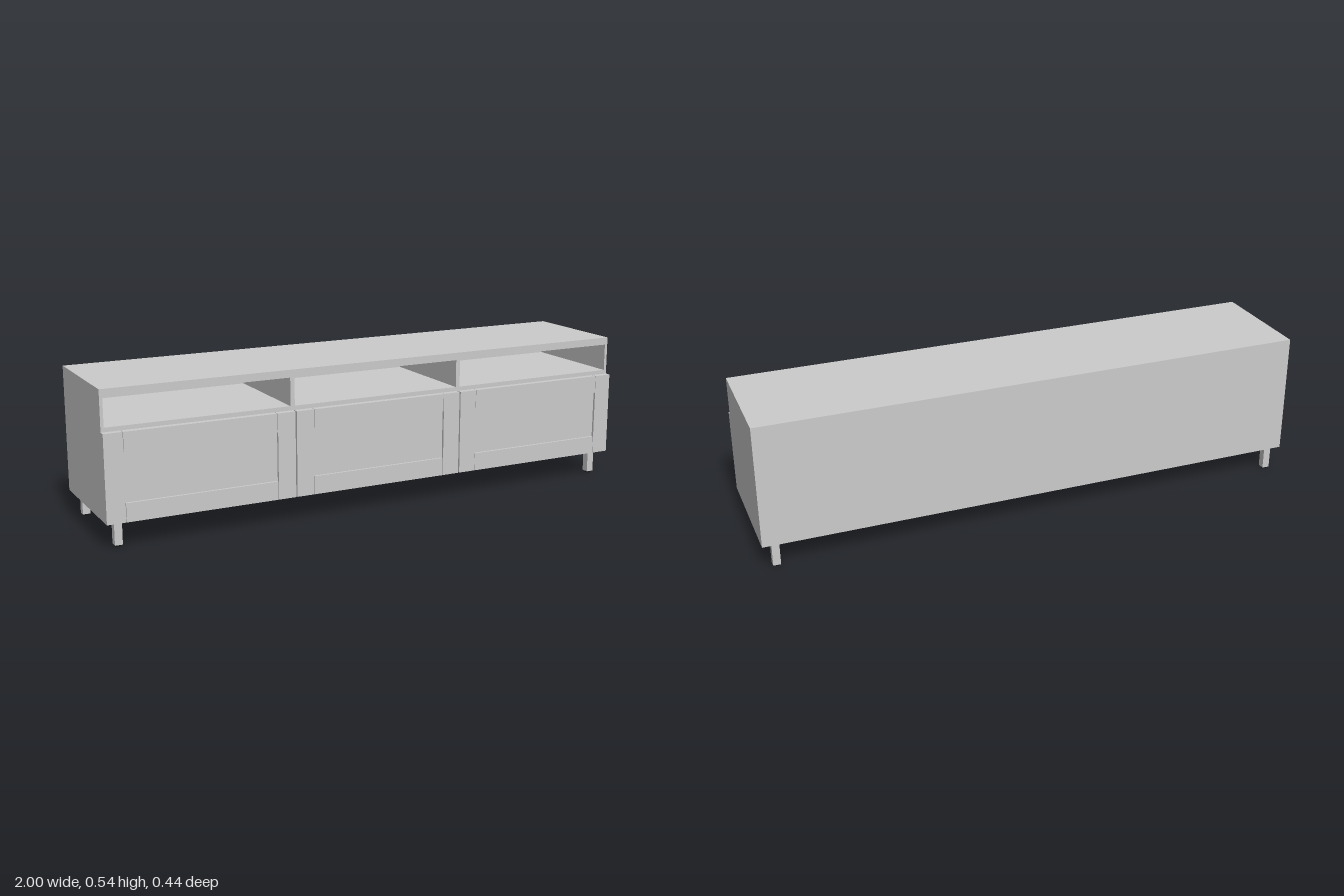
import * as THREE from 'three';

const grey = new THREE.MeshStandardMaterial({ color: 0xcccccc });
const black = new THREE.MeshStandardMaterial({ color: 0x141414 });

// Box given by its minimum and maximum corners
function slab(parent, name, [x0, y0, z0], [x1, y1, z1]) {
  const mesh = new THREE.Mesh(new THREE.BoxGeometry(x1 - x0, y1 - y0, z1 - z0), grey);
  mesh.position.set((x0 + x1) / 2, (y0 + y1) / 2, (z0 + z1) / 2);
  mesh.name = name;
  parent.add(mesh);
}

const BACK = -0.222, FACE = 0.2, FRONT = 0.222; // carcass back, carcass front, door front
const BASE = 0.091, TOP = 0.535, SHELF = 0.409, DOOR_TOP = 0.394;

function makeCarcass() {
  const g = new THREE.Group();
  g.name = 'carcass';
  const t = 0.011, inner = 1 - t;
  slab(g, 'topPanel', [-1, 0.508, BACK], [1, TOP, FACE]);
  slab(g, 'bottomPanel', [-inner, BASE, BACK], [inner, BASE + 0.02, FACE]);
  slab(g, 'shelf', [-inner, DOOR_TOP, BACK + t], [inner, SHELF, FACE]);
  slab(g, 'backPanel', [-inner, BASE + 0.02, BACK], [inner, 0.508, BACK + t]);
  for (const s of [-1, 1]) {
    slab(g, 'sidePanel', [s < 0 ? -1 : inner, BASE, BACK], [s < 0 ? -inner : 1, 0.508, FACE]);
    // divider, split above and below the shelf
    const x = s * 0.329;
    slab(g, 'upperDivider', [x - 0.008, SHELF, BACK + t], [x + 0.008, 0.508, FACE]);
    slab(g, 'lowerDivider', [x - 0.008, BASE + 0.02, BACK + t], [x + 0.008, DOOR_TOP, FACE]);
  }
  return g;
}

// Framed door: two full-height stiles, two rails and a recessed panel
function makeDoor(x0, x1) {
  const g = new THREE.Group();
  g.name = 'door';
  const w = 0.065, gap = 0.0015, y0 = BASE, y1 = DOOR_TOP;
  slab(g, 'leftStile', [x1 - w, y0, FACE], [x1, y1, FRONT]);
  slab(g, 'rightStile', [x0, y0, FACE], [x0 + w, y1, FRONT]);
  slab(g, 'bottomRail', [x0 + w + gap, y0, FACE], [x1 - w - gap, y0 + w, FRONT]);
  slab(g, 'topRail', [x0 + w + gap, y1 - w, FACE], [x1 - w - gap, y1, FRONT]);
  slab(g, 'doorPanel', [x0 + w, y0 + 0.002, FACE + 0.002], [x1 - w, y1 - 0.002, FRONT - 0.009]);
  return g;
}

// Square leg with a dark glide underneath
function makeLeg(x, z) {
  const g = new THREE.Group();
  g.name = 'leg';
  slab(g, 'legPost', [-0.0135, 0.006, -0.0135], [0.0135, BASE, 0.0135]);
  const glide = new THREE.Mesh(new THREE.CylinderGeometry(0.011, 0.011, 0.006, 20), black);
  glide.position.y = 0.003;
  glide.name = 'glide';
  g.add(glide);
  g.position.set(x, 0, z);
  return g;
}

export function createModel() {
  const model = new THREE.Group();
  model.name = 'mediaCabinet';
  model.add(makeCarcass());
  for (const [a, b] of [[-1, -0.329], [-0.324, 0.324], [0.329, 1]]) model.add(makeDoor(a, b));
  for (const x of [-0.953, 0.953]) for (const z of [-0.197, 0.174]) model.add(makeLeg(x, z));
  return model;
}
